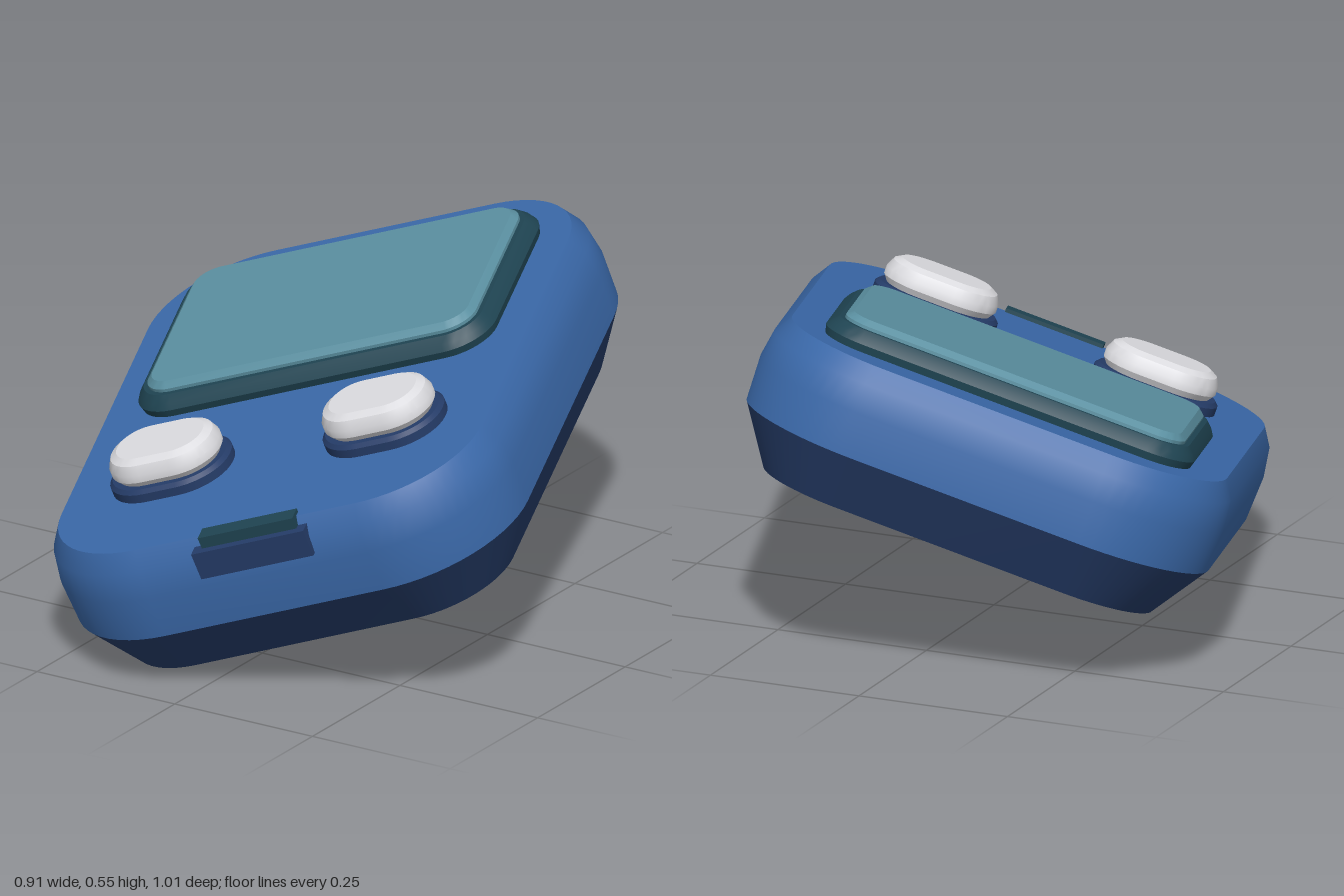
import * as THREE from 'three';
import { toCreasedNormals } from 'three/addons/utils/BufferGeometryUtils.js';

const mat = (name, color) => {
  const m = new THREE.MeshStandardMaterial({ color });
  m.name = name;
  return m;
};

// Closed loft of rounded rectangles: A, B are the half straight sides,
// each profile entry is [corner radius, height].
function loft(A, B, profile, seg = 10) {
  const rings = profile.map(([r, h]) => {
    const ring = [];
    [[1, 1], [-1, 1], [-1, -1], [1, -1]].forEach(([sx, sy], c) => {
      for (let k = 0; k <= seg; k++) {
        const t = (c + k / seg) * Math.PI / 2;
        ring.push([sx * A + r * Math.cos(t), h, -(sy * B + r * Math.sin(t))]);
      }
    });
    return ring;
  });
  const pos = [];
  const tri = (...pts) => pts.forEach((p) => pos.push(...p));
  const n = rings[0].length;
  const last = rings[rings.length - 1];
  const low = [0, profile[0][1], 0];
  const high = [0, profile[profile.length - 1][1], 0];
  for (let i = 0; i < n; i++) {
    const j = (i + 1) % n;
    for (let k = 0; k < rings.length - 1; k++) {
      tri(rings[k][i], rings[k][j], rings[k + 1][j]);
      tri(rings[k][i], rings[k + 1][j], rings[k + 1][i]);
    }
    tri(low, rings[0][j], rings[0][i]);
    tri(high, last[i], last[j]);
  }
  const g = new THREE.BufferGeometry();
  g.setAttribute('position', new THREE.Float32BufferAttribute(pos, 3));
  return toCreasedNormals(g, 0.5);
}

export function createModel() {
  const blue = mat('body blue', 0x3a68a8);
  const navy = mat('navy', 0x253c68);
  const bezelDark = mat('dark teal', 0x1f4452);
  const glass = mat('screen teal', 0x5a8fa0);
  const pale = mat('button grey', 0xdcdce0);

  const device = new THREE.Group();
  device.name = 'handheldDevice';
  const add = (name, geo, material, x = 0, y = 0, z = 0) => {
    const m = new THREE.Mesh(geo, material);
    m.name = name;
    m.position.set(x, y, z);
    device.add(m);
    return m;
  };

  // Two-part case
  const A = 0.185, B = 0.278, top = 0.144;
  add('upperShell', loft(A, B, [[0.193, 0], [0.196, 0.07], [0.189, 0.115], [0.171, top]], 14), blue);
  add('lowerShell', loft(A, B, [[0.133, -0.09], [0.193, 0]], 14), navy);

  // Screen with stepped bezel
  add('screenBezel', loft(0.23, 0.133, [[0.066, -0.01], [0.072, 0.012], [0.066, 0.022], [0.056, 0.032]]),
    bezelDark, 0, top, -0.172);
  add('screenGlass', loft(0.23, 0.133, [[0.048, 0.02], [0.048, 0.037], [0.038, 0.046]]),
    glass, 0, top, -0.172);

  // Pair of oval buttons on skirts
  for (const s of [-1, 1]) {
    add('buttonSkirt', loft(0.026, 0.003, [[0.074, -0.01], [0.074, 0.014], [0.068, 0.02]]),
      navy, s * 0.18, top, 0.22);
    add('buttonCap', loft(0.026, 0.003, [[0.056, 0.018], [0.065, 0.03], [0.065, 0.042], [0.058, 0.056], [0.046, 0.063]]),
      pale, s * 0.18, top, 0.22);
  }

  // Port on the front edge
  add('portPlate', new THREE.BoxGeometry(0.19, 0.045, 0.04), navy, 0.007, 0.109, 0.46);
  add('portStrip', new THREE.BoxGeometry(0.16, 0.022, 0.03), bezelDark, 0.007, 0.139, 0.452);

  // Tilted resting pose
  const u = new THREE.Vector3(0.915, 0.32, -0.247).normalize();
  const v = new THREE.Vector3(-0.31, 0.17, -0.936);
  v.addScaledVector(u, -u.dot(v)).normalize();
  const n = new THREE.Vector3().crossVectors(u, v);
  device.setRotationFromMatrix(new THREE.Matrix4().makeBasis(u, n, v.clone().negate()));
  device.position.set(-0.007, 0.238, -0.506);

  const root = new THREE.Group();
  root.name = 'model';
  root.add(device);
  return root;
}
